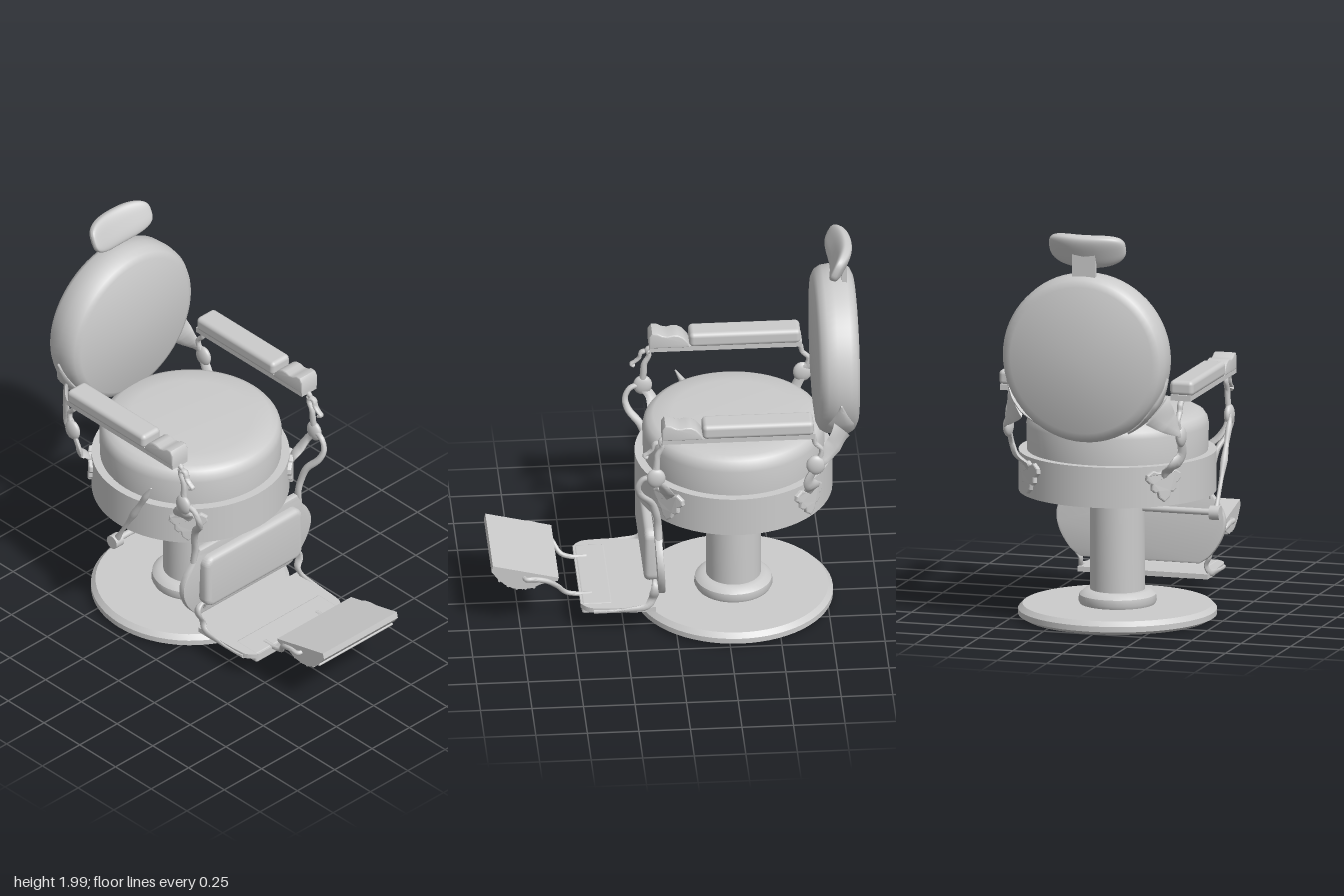
import * as THREE from 'three';
import { toCreasedNormals } from 'three/addons/utils/BufferGeometryUtils.js';
import { RoundedBoxGeometry } from 'three/addons/geometries/RoundedBoxGeometry.js';

const mat = new THREE.MeshStandardMaterial({ color: 0xcccccc });
const V = (x, y, z) => new THREE.Vector3(x, y, z);

// Round body from [radius, height] points, listed bottom to top
function lathe(points, segments = 64) {
  const g = new THREE.LatheGeometry(points.map(p => new THREE.Vector2(p[0], p[1])), segments);
  return toCreasedNormals(g, 0.7);
}

// Strap with an elliptical section swept along a curve; sizes are [half width, half thickness]
function strap(points, sizes, wide, steps = 28, sides = 10) {
  const curve = new THREE.CatmullRomCurve3(points.map(p => V(...p)));
  const pos = [], idx = [];
  for (let i = 0; i <= steps; i++) {
    const t = i / steps, c = curve.getPoint(t), T = curve.getTangent(t);
    const W = V(...wide).addScaledVector(T, -T.dot(V(...wide))).normalize();
    const N = T.clone().cross(W);
    const f = t * (sizes.length - 1), k = Math.min(Math.floor(f), sizes.length - 2);
    const [w, h] = [0, 1].map(n => THREE.MathUtils.lerp(sizes[k][n], sizes[k + 1][n], f - k));
    for (let j = 0; j < sides; j++) {
      const a = j / sides * Math.PI * 2;
      const p = c.clone().addScaledVector(W, Math.cos(a) * w).addScaledVector(N, Math.sin(a) * h);
      pos.push(p.x, p.y, p.z);
    }
  }
  for (let i = 0; i < steps; i++) for (let j = 0; j < sides; j++) {
    const a = i * sides + j, b = i * sides + (j + 1) % sides;
    idx.push(a, b, a + sides, b, b + sides, a + sides);
  }
  const last = steps * sides;
  for (let j = 1; j < sides - 1; j++) idx.push(0, j + 1, j, last, last + j, last + j + 1);
  const g = new THREE.BufferGeometry();
  g.setAttribute('position', new THREE.Float32BufferAttribute(pos, 3));
  g.setIndex(idx);
  return toCreasedNormals(g, 1);
}

const shapeOf = pts => new THREE.Shape(pts.map(p => new THREE.Vector2(p[0], p[1])));

// Closed symmetric outline from the +x half, listed top to bottom
function mirrored(half, smooth) {
  let pts = half.map(p => new THREE.Vector2(p[0], p[1]));
  if (smooth) pts = new THREE.SplineCurve(pts).getPoints(30);
  return shapeOf([...pts.map(p => [p.x, p.y]), ...pts.map(p => [-p.x, p.y]).reverse()]);
}

function roundRect(w, h, r) {
  const s = new THREE.Shape(), x = w / 2 - r, y = h / 2 - r, q = Math.PI / 2;
  s.absarc(x, y, r, 0, q).absarc(-x, y, r, q, 2 * q).absarc(-x, -y, r, 2 * q, 3 * q).absarc(x, -y, r, 3 * q, 4 * q);
  return s;
}

function extrude(shape, depth, bevel = 0, segments = 3) {
  const g = new THREE.ExtrudeGeometry(shape, {
    depth: depth - 2 * bevel, bevelEnabled: bevel > 0, bevelSize: bevel, bevelOffset: -bevel,
    bevelThickness: bevel, bevelSegments: segments, curveSegments: 10
  }).translate(0, 0, bevel - depth / 2);
  return toCreasedNormals(g, 0.7);
}

// Outline in (z, y), thickness along x
const sideExtrude = (pts, width, bevel = 0) => extrude(shapeOf(pts), width, bevel).rotateY(-Math.PI / 2);

export function createModel() {
  const root = new THREE.Group();
  root.name = 'barberChair';
  const chair = new THREE.Group();
  chair.name = 'chair';
  chair.position.x = 0.018;
  root.add(chair);
  const add = (name, geo, x = 0, y = 0, z = 0) => {
    const m = new THREE.Mesh(geo, mat);
    m.name = name;
    m.position.set(x, y, z);
    chair.add(m);
    return m;
  };
  const CZ = -0.3;

  // Pedestal and seat
  add('base', lathe([[0, 0], [0.45, 0], [0.482, 0.018], [0.482, 0.045], [0.46, 0.068], [0, 0.07]]), 0, 0, CZ);
  add('column', lathe([[0.18, 0.065], [0.19, 0.085], [0.186, 0.115], [0.16, 0.138], [0.133, 0.14], [0.133, 0.64]], 40), 0, 0, CZ);
  add('seatDrum', new THREE.CylinderGeometry(0.479, 0.479, 0.2, 64), 0, 0.73, CZ);
  add('seatCushion', lathe([[0.438, 0.82], [0.442, 0.96], [0.435, 0.99], [0.42, 1.012], [0.39, 1.028], [0.3, 1.034], [0, 1.036]]), 0, 0, CZ);

  // Round backrest
  add('backrest', lathe([[0, -0.89], [0.36, -0.888], [0.393, -0.872], [0.41, -0.845], [0.414, -0.78],
    [0.408, -0.735], [0.39, -0.705], [0.36, -0.69], [0, -0.684]]).rotateX(Math.PI / 2), 0, 1.375, 0);

  // Headrest: squared-off ellipsoid, bent so its ends come forward
  const head = new THREE.SphereGeometry(1, 40, 28), hp = head.attributes.position;
  const sq = (v, e) => Math.sign(v) * Math.abs(v) ** e;
  for (let i = 0; i < hp.count; i++) {
    const x = sq(hp.getX(i), 0.7) * 0.193;
    hp.setXYZ(i, x, sq(hp.getY(i), 0.65) * 0.088, sq(hp.getZ(i), 0.6) * 0.034 + 1.1 * x * x);
  }
  head.computeVertexNormals();
  add('headrest', head, 0, 1.902, -0.82).rotation.x = -0.42;
  add('headrestPost', new THREE.BoxGeometry(0.115, 0.17, 0.025), 0, 1.83, -0.835);

  // Leg rest panel and its pad
  const panel = mirrored([[0.325, 0.615], [0.355, 0.56], [0.405, 0.49], [0.428, 0.415], [0.408, 0.33], [0.355, 0.25], [0.3, 0.21]], true);
  const panelGeo = extrude(panel, 0.035, 0.006, 2).translate(0, -0.41, 0);
  add('legPanel', panelGeo, 0, 0.41, 0.082).rotation.x = 0.06;
  add('legPad', extrude(roundRect(0.645, 0.29, 0.05), 0.075, 0.025, 4), 0, 0.425, 0.118);

  // Foot plate with front lip
  const plate = mirrored([[0.33, -0.1], [0.33, -0.2], [0.322, -0.38], [0.305, -0.43], [0.27, -0.46]], true);
  add('footPlate', extrude(plate, 0.025).rotateX(-Math.PI / 2), 0, 0.138, 0);
  add('footPlateLip', new RoundedBoxGeometry(0.56, 0.055, 0.15, 3, 0.012), 0, 0.125, 0.38);

  // Tilted foot pedal with a curved underside
  add('footPedal', sideExtrude([[0.57, 0.27], [0.565, 0.287], [0.885, 0.366], [0.892, 0.335], [0.865, 0.298], [0.83, 0.262],
    [0.79, 0.238], [0.74, 0.23], [0.69, 0.236], [0.65, 0.256]].reverse(), 0.495));
  for (let i = 0; i < 5; i++) {
    const z = 0.685 + i * 0.042, y = [0.237, 0.232, 0.234, 0.25, 0.28][i];
    add('pedalRidge', new THREE.CylinderGeometry(0.007, 0.007, 0.49, 8).rotateZ(Math.PI / 2), 0, y, z);
  }

  // Maple-like leaf curved to sit on the drum
  const leaf = extrude(mirrored([[0, 0.815], [0.03, 0.8], [0.06, 0.812], [0.092, 0.79], [0.095, 0.765], [0.075, 0.745], [0.066, 0.742],
    [0.068, 0.715], [0.05, 0.7], [0.036, 0.702], [0.03, 0.675], [0, 0.652]]), 0.026, 0.007, 2);
  const lp = leaf.attributes.position;
  for (let i = 0; i < lp.count; i++) lp.setZ(i, lp.getZ(i) - lp.getX(i) ** 2 / 0.96);
  leaf.computeVertexNormals();

  for (const s of [1, -1]) {
    const side = s > 0 ? 'left' : 'right';
    // Paths are written for the +x side and mirrored
    const addStrap = (name, pts, sizes, wide = [0, 0, 1]) =>
      add(side + name, strap(pts.map(p => [p[0] * s, p[1], p[2]]), sizes, [wide[0] * s, wide[1], wide[2]]));

    // Armrest: board, pad and front scroll
    add(side + 'ArmBoard', new THREE.BoxGeometry(0.1, 0.028, 0.74), s * 0.433, 1.173, -0.292);
    add(side + 'ArmPad', new RoundedBoxGeometry(0.12, 0.075, 0.54, 4, 0.022), s * 0.433, 1.218, -0.385);
    add(side + 'ArmScroll', sideExtrude([[0.08, 1.18], [0.08, 1.24], [0.065, 1.262], [0.04, 1.262], [0.015, 1.248], [-0.01, 1.243],
      [-0.035, 1.25], [-0.06, 1.248], [-0.085, 1.235], [-0.11, 1.205], [-0.12, 1.18]].reverse(), 0.106, 0.006), s * 0.433);

    // Curled arm supports
    addStrap('FrontArmSupport', [[0.43, 1.16, 0.04], [0.43, 1.15, 0.085], [0.43, 1.115, 0.078], [0.43, 1.07, 0.1], [0.432, 1.01, 0.105], [0.438, 0.95, 0.11]],
      [[0.016, 0.014], [0.012, 0.012], [0.016, 0.014], [0.018, 0.014]]);
    addStrap('FrontArmCurl', [[0.43, 1.14, 0.075], [0.43, 1.135, 0.115], [0.43, 1.105, 0.125], [0.43, 1.085, 0.145], [0.43, 1.07, 0.165], [0.43, 1.06, 0.15]],
      [[0.012, 0.016], [0.01, 0.016], [0.008, 0.014], [0.01, 0.016]]);
    addStrap('RearArmSupport', [[0.43, 1.165, -0.61], [0.43, 1.14, -0.655], [0.43, 1.105, -0.665], [0.43, 1.07, -0.695], [0.432, 1.03, -0.69], [0.438, 0.985, -0.667]],
      [[0.016, 0.016], [0.012, 0.014], [0.012, 0.014], [0.018, 0.014]]);

    // Joint bosses, leaf straps and leaves
    for (const [label, z, y, lz] of [['Front', 0.108, 0.945, 0.042], ['Rear', -0.667, 0.985, -0.642]]) {
      add(side + label + 'Boss', new THREE.SphereGeometry(1, 24, 16).scale(0.024, 0.052, 0.046), s * 0.438, y, z);
      const f = label === 'Front' ? 1 : -1;
      addStrap(label + 'LeafStrap', [[0.435, y - 0.01, z], [0.43, 0.89, z - 0.035 * f], [0.4, 0.84, lz + 0.012 * f], [0.36, 0.805, lz + 0.005 * f], [0.342, 0.77, lz]],
        [[0.022, 0.012], [0.028, 0.013], [0.04, 0.013], [0.036, 0.012], [0.015, 0.01]], [0.5, 0, -f * 0.8]);
      const m = add(side + label + 'Leaf', leaf, s * 0.343, 0, CZ + 0.343 * f);
      m.rotation.y = Math.atan2(s, f);
    }

    // Brackets cradling the backrest rim
    const arc = [-0.2, -0.36, -0.54, -0.72, -0.9, -1.05].map(a => [0.417 * Math.cos(a), 1.375 + 0.417 * Math.sin(a), -0.795]);
    addStrap('BackBracketRim', arc, [[0.005, 0.008], [0.03, 0.01], [0.065, 0.014], [0.065, 0.014], [0.03, 0.01], [0.005, 0.008]]);
    addStrap('BackBracketArm', [[0.437, 0.985, -0.667], [0.43, 1.025, -0.71], [0.4, 1.07, -0.755], [0.355, 1.13, -0.8]],
      [[0.025, 0.012], [0.035, 0.012], [0.06, 0.013], [0.085, 0.012]], [-0.3, 1, -0.3]);

    // Curved bar carrying the leg panel
    addStrap('LegBar', [[0.435, 0.95, 0.12], [0.428, 0.935, 0.17], [0.42, 0.885, 0.195], [0.4, 0.83, 0.18], [0.372, 0.765, 0.125], [0.358, 0.69, 0.1], [0.345, 0.62, 0.092], [0.355, 0.53, 0.088]],
      [[0.014, 0.014], [0.014, 0.014], [0.02, 0.014], [0.018, 0.014], [0.02, 0.013]], [0, 0.4, 1]);

    // Scrolls joining panel and foot plate
    addStrap('FootScroll', [[0.285, 0.245, 0.1], [0.285, 0.275, 0.105], [0.31, 0.288, 0.105], [0.338, 0.27, 0.105], [0.338, 0.235, 0.108], [0.318, 0.195, 0.115], [0.325, 0.155, 0.14], [0.325, 0.138, 0.22], [0.315, 0.128, 0.4]],
      [[0.01, 0.01], [0.012, 0.01], [0.024, 0.01], [0.018, 0.01], [0.016, 0.01]]);

    // Bent rods carrying the pedal
    addStrap('PedalRod', [[0.173, 0.148, 0.4], [0.173, 0.148, 0.47], [0.182, 0.165, 0.525], [0.22, 0.225, 0.57], [0.257, 0.277, 0.625], [0.264, 0.292, 0.68], [0.264, 0.293, 0.725], [0.235, 0.293, 0.735]],
      [[0.011, 0.012], [0.011, 0.012], [0.011, 0.014], [0.01, 0.012]], [1, 0, 0]);
  }

  // Height lever on the right side
  add('leverShaft', new THREE.CylinderGeometry(0.016, 0.016, 0.42, 16).rotateZ(Math.PI / 2), -0.3, 0.545, -0.305);
  add('leverHub', new THREE.CylinderGeometry(0.035, 0.035, 0.05, 20).rotateZ(Math.PI / 2), -0.498, 0.543, -0.305);
  add('lever', strap([[-0.5, 0.55, -0.3], [-0.5, 0.7, -0.215], [-0.499, 0.85, -0.13], [-0.497, 0.985, -0.055]],
    [[0.014, 0.02], [0.01, 0.01], [0.011, 0.011], [0.019, 0.019], [0.012, 0.014], [0.017, 0.017], [0.004, 0.004]], [1, 0, 0]));
  return root;
}
